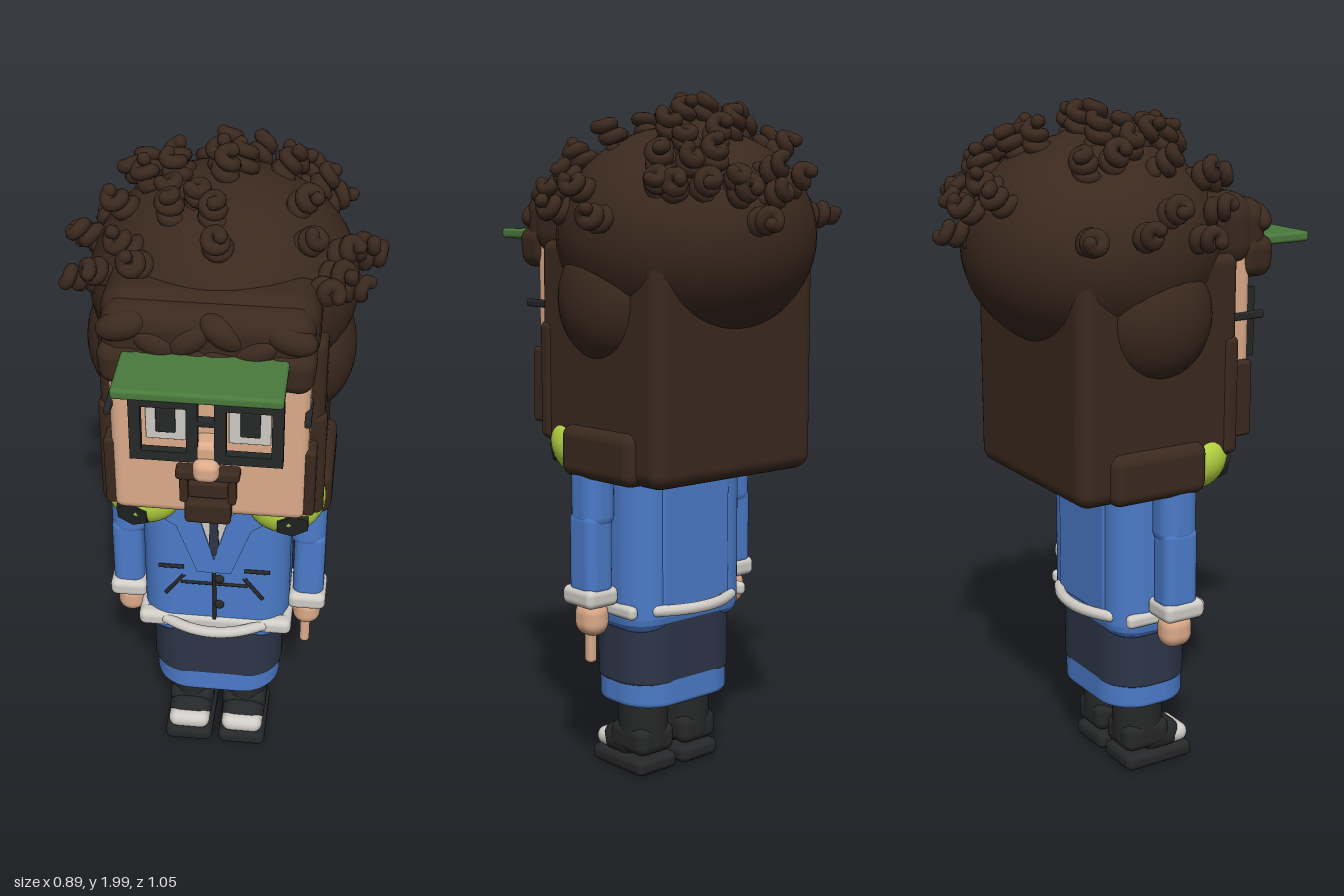
import * as THREE from 'three';
import { RoundedBoxGeometry } from 'three/addons/geometries/RoundedBoxGeometry.js';
import { mergeGeometries } from 'three/addons/utils/BufferGeometryUtils.js';

const mat = (name, color) => new THREE.MeshStandardMaterial({ name, color, side: THREE.DoubleSide });

export function createModel() {
  const root = new THREE.Group();
  root.name = 'figure';
  const hair = mat('dark brown', 0x3b291e), skin = mat('skin', 0xdcab8a), blue = mat('jacket blue', 0x4b7bc9),
    navy = mat('navy', 0x2d3548), black = mat('black', 0x262728), white = mat('off white', 0xcfccc6),
    lime = mat('lime', 0xbcdc44), green = mat('green', 0x4a7a3c);

  const add = (name, geo, m, x = 0, y = 0, z = 0) => {
    const mesh = new THREE.Mesh(geo, m);
    mesh.name = name;
    mesh.position.set(x, y, z);
    root.add(mesh);
    return mesh;
  };
  // box given by its limits on each axis, with rounded edges
  const box = (name, m, [x0, x1], [y0, y1], [z0, z1], r = 0.01) => {
    const w = x1 - x0, h = y1 - y0, d = z1 - z0;
    const geo = new RoundedBoxGeometry(w, h, d, 4, Math.min(r, w * 0.49, h * 0.49, d * 0.49));
    return add(name, geo, m, (x0 + x1) / 2, (y0 + y1) / 2, (z0 + z1) / 2);
  };
  const ball = (name, m, x, y, z, rx, ry, rz) => {
    const mesh = add(name, new THREE.SphereGeometry(1, 40, 28), m, x, y, z);
    mesh.scale.set(rx, ry, rz);
    return mesh;
  };
  // upright block with a rounded-rectangle plan
  const column = (name, m, hw, [y0, y1], [z0, z1], r, bevel) => {
    const s = new THREE.Shape(), w = hw - bevel, a = z0 + bevel, b = z1 - bevel;
    s.absarc(w - r, -a - r, r, 0, Math.PI / 2);
    s.absarc(-w + r, -a - r, r, Math.PI / 2, Math.PI);
    s.absarc(-w + r, -b + r, r, Math.PI, Math.PI * 1.5);
    s.absarc(w - r, -b + r, r, Math.PI * 1.5, Math.PI * 2);
    const geo = new THREE.ExtrudeGeometry(s, { depth: y1 - y0 - 2 * bevel, bevelSize: bevel, bevelThickness: bevel, bevelSegments: 4, curveSegments: 10 });
    geo.rotateX(-Math.PI / 2);
    return add(name, geo, m, 0, y0 + bevel, 0);
  };
  // flat plate on the chest
  const plate = (name, m, pts, z, depth = 0.008) => {
    const s = new THREE.Shape(pts.map(p => new THREE.Vector2(...p)));
    return add(name, new THREE.ExtrudeGeometry(s, { depth, bevelEnabled: false }), m, 0, 0, z);
  };
  // thin rod between two points
  const rod = (name, m, a, b, r) => {
    const c = new THREE.LineCurve3(new THREE.Vector3(...a), new THREE.Vector3(...b));
    return add(name, new THREE.TubeGeometry(c, 1, r, 8), m);
  };
  const range = (s, a, b) => s > 0 ? [a, b] : [-b, -a];

  // jacket, skirt and hem
  column('jacket', blue, 0.22, [0.455, 0.99], [-0.11, 0.17], 0.045, 0.045);
  column('skirt', navy, 0.2, [0.295, 0.52], [-0.105, 0.17], 0.105, 0.01);
  column('hem', blue, 0.193, [0.225, 0.32], [-0.105, 0.17], 0.1, 0.015);
  box('backPanel', blue, [-0.13, 0.13], [0.52, 0.95], [-0.116, -0.08], 0.01);

  // shirt, collar, tie and lapels
  plate('shirt', white, [[-0.07, 0.98], [0, 0.78], [0.07, 0.98]], 0.166);
  column('collar', white, 0.078, [0.955, 1.05], [0.03, 0.195], 0.03, 0.015);
  plate('tie', navy, [[-0.01, 0.95], [-0.015, 0.83], [0, 0.79], [0.015, 0.83], [0.01, 0.95]], 0.174, 0.006);
  for (const s of [-1, 1]) {
    plate('lapel', blue, [[s * 0.055, 0.98], [s * 0.13, 0.98], [s * 0.14, 0.92], [s * 0.11, 0.9], [s * 0.05, 0.73], [0, 0.73], [0, 0.78]], 0.171, 0.009);
    rod('pocketFlap', black, [s * 0.09, 0.74, 0.174], [s * 0.165, 0.74, 0.174], 0.006);
    rod('pocketSeam', black, [s * 0.09, 0.71, 0.174], [s * 0.145, 0.635, 0.174], 0.006);
  }
  rod('frontSeam', black, [0, 0.73, 0.172], [0, 0.54, 0.172], 0.006);
  rod('crossSeam', black, [-0.1, 0.68, 0.172], [0.1, 0.68, 0.172], 0.005);
  for (const y of [0.7, 0.6]) ball('button', black, 0.015, y, 0.173, 0.015, 0.015, 0.009);

  // belt with a bowed bar at front and back
  box('frontBelt', white, [-0.232, 0.232], [0.495, 0.548], [0.13, 0.18], 0.02);
  for (const [z, dz] of [[0.17, 0.095], [-0.105, -0.09]]) {
    const c = new THREE.QuadraticBezierCurve3(new THREE.Vector3(-0.145, 0.525, z), new THREE.Vector3(0, 0.525, z + dz), new THREE.Vector3(0.145, 0.525, z));
    add('beltBar', new THREE.TubeGeometry(c, 20, 0.017, 10), white);
    for (const s of [-1, 1]) ball('beltBarEnd', white, s * 0.145, 0.525, z, 0.017, 0.017, 0.017);
  }

  for (const s of [-1, 1]) {
    box('beltSide', white, range(s, 0.2, 0.232), [0.505, 0.545], [-0.09, 0.17], 0.015);
    // arms
    box('upperArm', blue, range(s, 0.215, 0.322), [0.76, 1.0], [-0.025, 0.092], 0.045);
    box('lowerArm', blue, range(s, 0.228, 0.322), [0.57, 0.82], [-0.02, 0.09], 0.03);
    box('cuff', white, range(s, 0.217, 0.33), [0.54, 0.597], [-0.025, 0.107], 0.02);
    box('hand', skin, range(s, 0.23, 0.315), [0.45, 0.555], [-0.012, 0.085], 0.04);

    // legs and shoes
    const leg = add('leg', new THREE.CylinderGeometry(0.07, 0.07, 0.2, 24), black, s * 0.085, 0.19, 0.03);
    leg.scale.z = 1.12;
    box('ankle', black, range(s, 0.015, 0.155), [0.06, 0.15], [-0.045, 0.11], 0.03);
    box('sole', black, range(s, 0.01, 0.16), [0.004, 0.055], [-0.045, 0.185], 0.02);
    box('soleTread', white, range(s, 0.06, 0.11), [0, 0.006], [0.05, 0.12], 0.002);
    box('shoeTop', black, range(s, 0.018, 0.152), [0.04, 0.13], [0.02, 0.155], 0.04);
    box('toeCap', white, range(s, 0.02, 0.15), [0.05, 0.108], [0.1, 0.182], 0.028);

    // headphones resting on the shoulders
    ball('earCup', lime, s * 0.2, 1.005, 0.13, 0.117, 0.112, 0.105);
    const pad = add('earPad', new THREE.CylinderGeometry(0.05, 0.055, 0.024, 6), black, s * 0.228, 0.968, 0.213);
    pad.rotation.set(Math.PI / 2 + 0.3, 0, -s * 0.15);

    // glasses
    const frame = new THREE.Shape(), hole = new THREE.Path();
    frame.moveTo(0.022, 1.26).lineTo(0.205, 1.26).lineTo(0.205, 1.46).lineTo(0.022, 1.46);
    hole.moveTo(0.053, 1.29).lineTo(0.053, 1.43).lineTo(0.174, 1.43).lineTo(0.174, 1.29);
    frame.holes.push(hole);
    const lens = add('glassesFrame', new THREE.ExtrudeGeometry(frame, { depth: 0.025, bevelEnabled: false }), black, 0, 0, 0.32);
    if (s < 0) lens.position.x = -0.227;
    box('glassesArm', black, range(s, 0.256, 0.274), [1.383, 1.405], [0.2, 0.33], 0.006);

    // eyes and brows
    box('eyeWhite', white, range(s, 0.055, 0.168), [1.295, 1.425], [0.28, 0.297], 0.005);
    box('iris', black, range(s, 0.087, 0.14), [1.322, 1.4], [0.29, 0.304], 0.004);
    for (let i = 0; i < 4; i++) rod('lash', black, [s * (0.065 + i * 0.03), 1.43, 0.298], [s * (0.07 + i * 0.031), 1.408, 0.31], 0.005);
    box('brow', hair, range(s, 0.05, 0.185), [1.445, 1.475], [0.28, 0.318], 0.01);

    // moustache sides and sideburns
    box('moustacheSide', hair, range(s, 0.055, 0.078), [1.1, 1.2], [0.28, 0.32], 0.008);
    box('sideburn', hair, range(s, 0.255, 0.29), [1.05, 1.27], [0.19, 0.282], 0.012);
    box('hairStrand', hair, range(s, 0.265, 0.312), [1.01, 1.35], [0.17, 0.222], 0.02);

    // side hair
    ball('sideHair', hair, s * 0.25, 1.42, -0.025, 0.125, 0.18, 0.17);
    box('lowerLock', hair, range(s, 0.22, 0.332), [0.915, 1.065], [-0.2, 0.11], 0.035);
  }
  box('finger', skin, [0.255, 0.285], [0.365, 0.48], [0.03, 0.062], 0.012);
  box('glassesBridge', black, [-0.03, 0.03], [1.375, 1.4], [0.322, 0.345], 0.006);

  // face
  box('face', skin, [-0.268, 0.268], [1.035, 1.62], [-0.02, 0.29], 0.03);
  box('nose', skin, [-0.035, 0.035], [1.205, 1.32], [0.27, 0.345], 0.02);
  box('noseTip', skin, [-0.036, 0.036], [1.205, 1.275], [0.28, 0.372], 0.025);
  box('moustache', hair, [-0.088, 0.088], [1.18, 1.215], [0.27, 0.325], 0.01);
  box('lips', hair, [-0.055, 0.055], [1.112, 1.166], [0.27, 0.312], 0.01);
  box('goatee', hair, [-0.064, 0.064], [1.035, 1.108], [0.27, 0.328], 0.012);

  // main hair masses
  box('hairBlock', hair, [-0.305, 0.305], [1.0, 1.58], [-0.25, 0.22], 0.03);
  box('backHair', hair, [-0.305, 0.305], [0.915, 1.56], [-0.29, -0.14], 0.045);
  const dome = { x: 0.003, y: 1.59, z: -0.07, rx: 0.37, ry: 0.31, rz: 0.37 };
  ball('hairDome', hair, dome.x, dome.y, dome.z, dome.rx, dome.ry, dome.rz);
  ball('hairCrown', hair, 0, 1.82, -0.12, 0.09, 0.09, 0.09);
  box('hairFront', hair, [-0.285, 0.285], [1.52, 1.74], [-0.1, 0.315], 0.08);
  box('fringe', hair, [-0.275, 0.275], [1.53, 1.72], [0.2, 0.35], 0.06);
  // bottom height and tilt of each drooping fringe lock
  [[1.5, 0.1], [1.535, -0.15], [1.53, 0.2], [1.525, -0.2], [1.51, 0.15], [1.5, -0.1]].forEach(([y, tilt], i) => {
    const x = -0.215 + i * 0.086;
    const lock = box('fringeLock', hair, [x - 0.065, x + 0.065], [y, 1.62], [0.25, 0.365], 0.04);
    lock.rotation.z = tilt;
    const tuft = ball('fringeTuft', hair, x, 1.64 + 0.025 * Math.cos(i * 2.3), 0.325, 0.07, 0.04, 0.04);
    tuft.rotation.z = tilt * 3;
  });

  // visor
  box('visor', green, [-0.215, 0.215], [1.576, 1.606], [0.28, 0.53], 0.01);

  // coiled curls standing out from the dome: x, z of each
  class Coil extends THREE.Curve {
    getPoint(t, v = new THREE.Vector3()) {
      const a = t * Math.PI * 4.2, r = 0.023 - 0.005 * t;
      return v.set(Math.cos(a) * r, -0.01 + t * 0.08, Math.sin(a) * r);
    }
  }
  const coil = new Coil();
  const tip = t => {
    const p = coil.getPoint(t);
    return new THREE.SphereGeometry(0.019, 8, 6).translate(p.x, p.y, p.z);
  };
  const curlGeo = mergeGeometries([new THREE.TubeGeometry(coil, 32, 0.019, 8), tip(0), tip(1)]);
  const curls = [
    [0.02, -0.5], [0.07, -0.45], [0.13, -0.45], [-0.09, -0.4], [0, -0.38], [0.11, -0.38], [0.2, -0.36], [0.3, -0.34],
    [0.13, -0.32], [0.2, -0.29], [0.16, -0.25], [0.24, -0.23], [0.07, -0.26], [0, -0.24], [0.15, -0.17], [0.27, -0.26],
    [-0.33, -0.27], [-0.21, -0.21], [-0.22, -0.14], [-0.38, -0.13], [-0.19, -0.07], [-0.25, -0.01], [-0.4, -0.03],
    [-0.37, 0.06], [-0.32, 0.13], [-0.22, 0.13], [-0.19, 0.18], [0.37, -0.13], [0.39, -0.03], [0.2, -0.01], [0.3, 0.05],
    [0.37, 0.09], [0.23, 0.09], [0.33, 0.13], [0.27, 0.15], [-0.12, -0.12], [-0.12, -0.06], [-0.11, 0.02], [-0.12, 0.08],
    [-0.01, -0.12], [0, -0.06], [0.05, -0.1], [-0.05, 0.05], [-0.01, 0.1], [0.01, 0.18],
  ];
  const up = new THREE.Vector3(0, 1, 0);
  curls.forEach(([x, z], i) => {
    const n = new THREE.Vector3(x / dome.rx, 0, (z - dome.z) / dome.rz);
    const limit = 0.94 + 0.05 * Math.sin(i * 1.7);
    if (n.length() > limit) n.setLength(limit);
    n.y = Math.sqrt(1 - n.lengthSq());
    const curl = add('curl', curlGeo, hair, dome.x + n.x * dome.rx, dome.y + n.y * dome.ry, dome.z + n.z * dome.rz);
    n.add(new THREE.Vector3(Math.sin(i * 2.7), 0, Math.cos(i * 3.9)).multiplyScalar(0.2)).normalize();
    curl.quaternion.setFromUnitVectors(up, n);
    curl.rotateY(i * 1.3);
  });
  return root;
}
